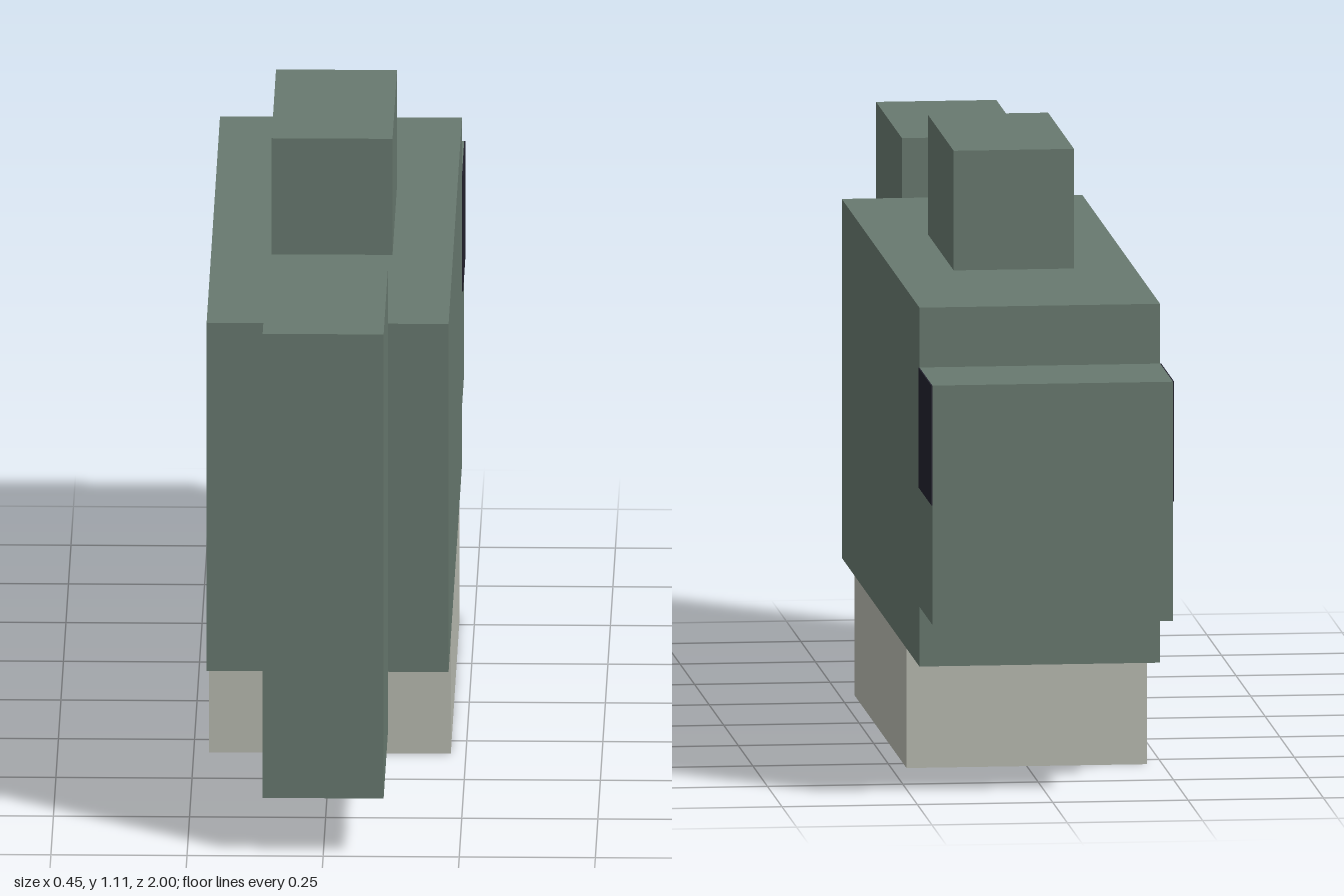
import * as THREE from 'three';

// One block of the modelling grid
const U = 1 / 9;

export function createModel() {
  const model = new THREE.Group();
  model.name = 'blockFish';

  const makeMaterial = (name, color) => {
    const material = new THREE.MeshStandardMaterial({ color });
    material.name = name;
    return material;
  };
  const scaleGreen = makeMaterial('scaleGreen', 0x68796f);
  const bellyGrey = makeMaterial('bellyGrey', 0xb8bab0);
  const eyeDark = makeMaterial('eyeDark', 0x22212d);

  // Box from x, y and z ranges given in grid blocks
  const addBlock = (name, material, [x0, x1], [y0, y1], [z0, z1]) => {
    const geometry = new THREE.BoxGeometry((x1 - x0) * U, (y1 - y0) * U, (z1 - z0) * U);
    const mesh = new THREE.Mesh(geometry, material);
    mesh.name = name;
    mesh.position.set(((x0 + x1) / 2) * U, ((y0 + y1) / 2) * U, ((z0 + z1) / 2) * U);
    model.add(mesh);
  };

  // Body, with the head towards -z and the tail towards +z
  addBlock('body', scaleGreen, [-2, 2], [2, 8], [-7, 5]);
  addBlock('head', scaleGreen, [-2, 2], [3, 7], [-9, -7]);
  addBlock('belly', bellyGrey, [-2, 2], [0, 2], [-5, 3]);

  // Fins
  addBlock('dorsalFin', scaleGreen, [-1, 1], [8, 10], [-3, 1]);
  addBlock('tailFin', scaleGreen, [-1, 1], [1, 9], [5, 9]);

  // Eyes: thin plates covering the upper half of each side of the head
  const t = 0.02;
  addBlock('leftEye', eyeDark, [2, 2 + t], [5, 7], [-9, -7]);
  addBlock('rightEye', eyeDark, [-2 - t, -2], [5, 7], [-9, -7]);

  return model;
}
